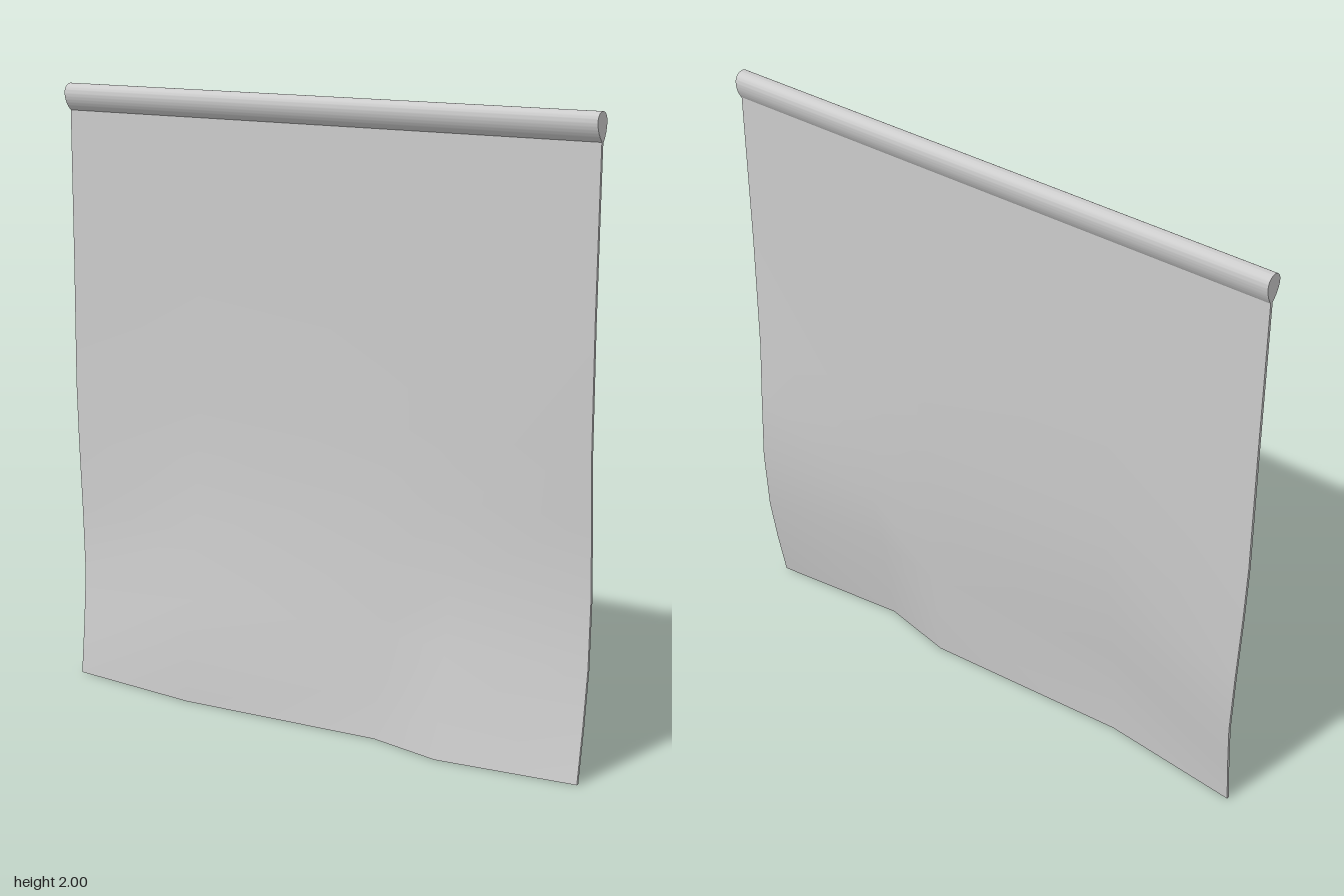
import * as THREE from 'three';
import { toCreasedNormals } from 'three/addons/utils/BufferGeometryUtils.js';

const HALF = 0.005; // half the cloth thickness

// Cloth rows: height, left and right edge x, then depth at each fold line
const ROWS = [
  [1.92, -0.963, 0.956, [-0.04, -0.04, -0.04, -0.04, -0.04]],
  [1.4, -0.963, 0.951, [-0.04, -0.037, -0.04, -0.04, -0.04]],
  [1.0, -0.963, 0.949, [-0.037, -0.03, -0.037, -0.038, -0.045]],
  [0.8, -0.957, 0.949, [-0.036, -0.02, -0.035, -0.034, -0.056]],
  [0.56, -0.947, 0.95, [-0.036, 0.0, -0.028, -0.02, -0.066]],
  [0.34, -0.938, 0.954, [-0.032, 0.036, -0.018, 0.015, -0.05]],
  [0.17, -0.931, 0.957, [-0.01, 0.053, 0.0, 0.045, -0.02]],
  [0, -0.925, 0.96, [0.015, 0.058, 0.017, 0.069, 0.016]],
];
const FOLDS = [-0.45, 0.25, 0.5];

// Point on the cloth, pushed forward or back by half its thickness
function clothPoint(r, c, side) {
  const [y, left, right, z] = ROWS[r];
  return [[left, ...FOLDS, right][c], y, z[c] + side * HALF];
}

// Smooth surface through a grid of points
function gridSurface(nRows, nCols, point, flip) {
  const pos = [], index = [];
  for (let r = 0; r < nRows; r++) {
    for (let c = 0; c < nCols; c++) {
      pos.push(...point(r, c));
      if (r === nRows - 1 || c === nCols - 1) continue;
      const a = r * nCols + c, b = a + 1, d = a + nCols, e = d + 1;
      index.push(...(flip ? [a, b, d, b, e, d] : [a, d, b, b, d, e]));
    }
  }
  const g = new THREE.BufferGeometry();
  g.setAttribute('position', new THREE.Float32BufferAttribute(pos, 3));
  g.setIndex(index);
  g.computeVertexNormals();
  return g;
}

export function createModel() {
  const model = new THREE.Group();
  model.name = 'hangingCloth';
  const material = new THREE.MeshStandardMaterial({ color: 0xcccccc });
  const add = (name, geometry, parent) => {
    const mesh = new THREE.Mesh(geometry, material);
    mesh.name = name;
    parent.add(mesh);
  };

  // Cloth panel: two faces and a thin rim on three sides
  const cloth = new THREE.Group();
  cloth.name = 'clothPanel';
  model.add(cloth);
  const nR = ROWS.length, nC = FOLDS.length + 2;
  const sides = [1, -1];
  add('clothFront', gridSurface(nR, nC, (r, c) => clothPoint(r, c, 1), false), cloth);
  add('clothBack', gridSurface(nR, nC, (r, c) => clothPoint(r, c, -1), true), cloth);
  add('leftEdge', gridSurface(nR, 2, (r, c) => clothPoint(r, nC - 1, sides[c]), false), cloth);
  add('rightEdge', gridSurface(nR, 2, (r, c) => clothPoint(r, 0, sides[c]), true), cloth);
  add('bottomHem', gridSurface(2, nC, (r, c) => clothPoint(nR - 1, c, sides[r]), false), cloth);

  // Teardrop sleeve along the top
  const profile = new THREE.Shape();
  profile.moveTo(0.04 - HALF, 1.912);
  profile.lineTo(0.04 + HALF, 1.912);
  profile.quadraticCurveTo(0.065, 1.94, 0.065, 1.97);
  profile.absarc(0.035, 1.97, 0.03, 0, Math.PI, false);
  profile.quadraticCurveTo(0.005, 1.94, 0.04 - HALF, 1.912);
  const sleeve = new THREE.ExtrudeGeometry(profile, { depth: 1.92, bevelEnabled: false, curveSegments: 12 });
  sleeve.rotateY(Math.PI / 2);
  sleeve.translate(-0.963, 0, 0);
  add('rodSleeve', toCreasedNormals(sleeve, 0.7), model);

  return model;
}
